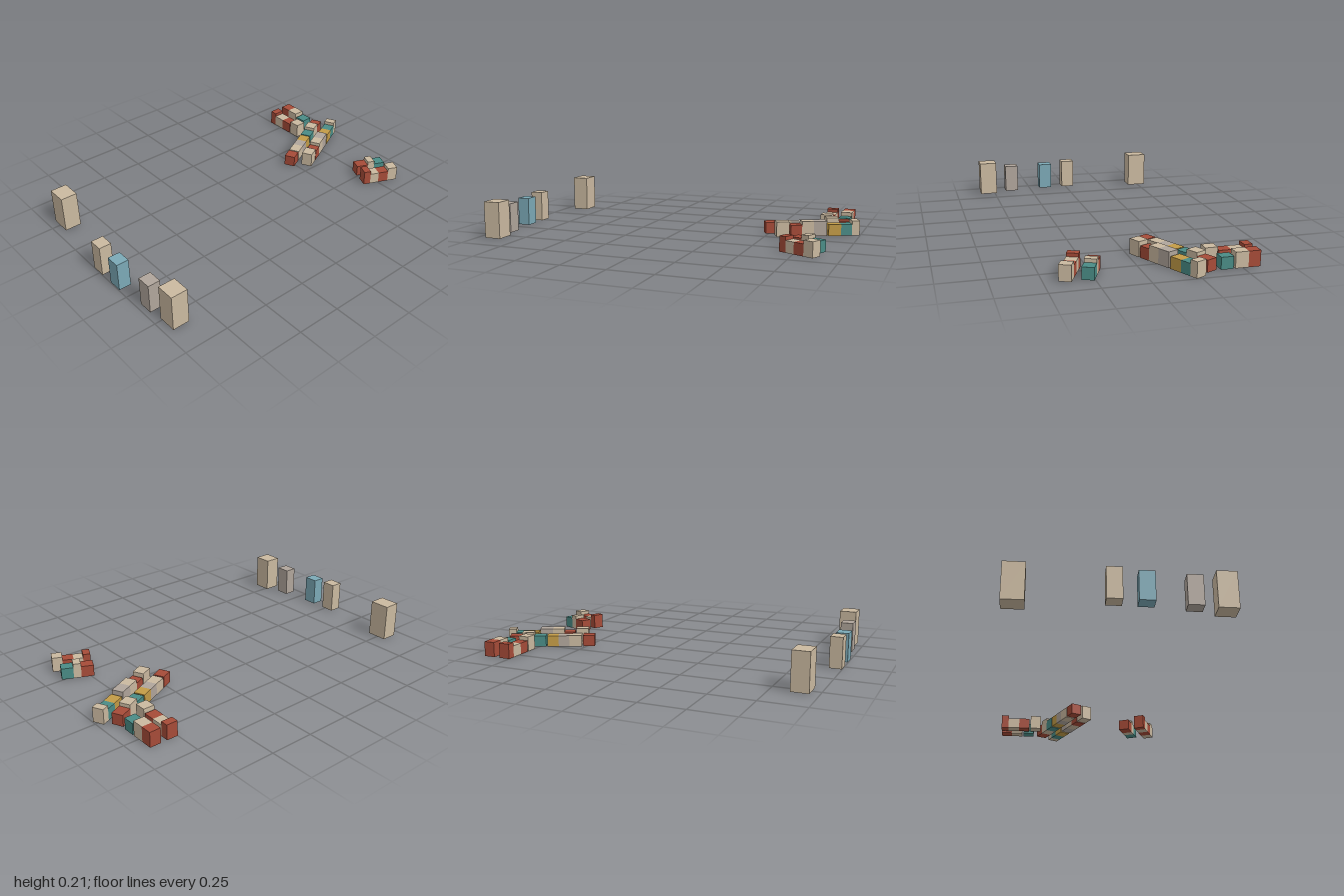
import * as THREE from 'three';

const paint = (name, color) => {
  const m = new THREE.MeshStandardMaterial({ color });
  m.name = name;
  return m;
};

export function createModel() {
  const group = new THREE.Group();
  const beige = paint('beige', 0xcab9a0);
  const red = paint('brickRed', 0xa64b38);
  const teal = paint('teal', 0x4a8c86);
  const gold = paint('ochre', 0xc39b46);
  const grey = paint('warmGrey', 0xb0a59b);
  const blue = paint('skyBlue', 0x7ba9b6);
  const LOW = 0.065, TALL = 0.085, WIDTH = 0.064;

  // A box standing on the ground of its parent
  function addBlock(parent, name, material, w, h, d, x, z) {
    const mesh = new THREE.Mesh(new THREE.BoxGeometry(w, h, d), material);
    mesh.name = name;
    mesh.position.set(x, h / 2, z);
    parent.add(mesh);
  }

  // A row of containers laid end to end from (x, z) along the heading angle
  // each block: [start, end, material, height]
  function addRow(name, x, z, angle, blocks) {
    const row = new THREE.Group();
    row.name = name;
    row.position.set(x, 0, z);
    row.rotation.y = angle;
    blocks.forEach(([a, b, mat, h], i) =>
      addBlock(row, `container${i + 1}`, mat, WIDTH, h, b - a, 0, (a + b) / 2));
    group.add(row);
  }

  // Two straight rows
  addRow('backStraightRow', -0.595, -0.881, Math.PI / 2, [
    [0, 0.065, red, TALL], [0.065, 0.135, beige, TALL], [0.145, 0.212, teal, LOW]]);
  addRow('frontStraightRow', -0.595, -0.781, Math.PI / 2, [
    [0, 0.045, red, TALL], [0.045, 0.115, beige, LOW],
    [0.115, 0.182, red, LOW], [0.19, 0.257, beige, TALL]]);

  // Two long slanted rows
  addRow('innerLongRow', -0.2525, -0.983, 0.45, [
    [0, 0.045, beige, TALL], [0.045, 0.108, teal, LOW], [0.108, 0.18, gold, LOW],
    [0.19, 0.265, grey, TALL], [0.265, 0.333, beige, TALL],
    [0.333, 0.397, red, LOW], [0.405, 0.479, beige, TALL]]);
  addRow('outerLongRow', -0.331, -0.921, 0.448, [
    [0, 0.073, red, LOW], [0.073, 0.143, beige, TALL], [0.143, 0.212, teal, LOW],
    [0.22, 0.286, gold, LOW], [0.286, 0.349, grey, LOW],
    [0.349, 0.423, beige, LOW], [0.431, 0.5, red, LOW]]);

  // Two short slanted rows
  addRow('innerShortRow', 0.286, -0.883, -0.42, [
    [0, 0.066, teal, LOW], [0.066, 0.108, beige, TALL], [0.108, 0.178, red, LOW]]);
  addRow('outerShortRow', 0.397, -0.876, -0.43, [
    [0, 0.058, beige, TALL], [0.058, 0.119, red, LOW],
    [0.119, 0.172, beige, LOW], [0.172, 0.213, red, TALL]]);

  // Upright towers along the front: [material, width, height, depth, x, z]
  [[beige, 0.116, 0.21, 0.095, -0.494, 0.902],
    [beige, 0.08, 0.175, 0.07, -0.015, 0.963],
    [blue, 0.081, 0.162, 0.07, 0.141, 0.961],
    [grey, 0.082, 0.168, 0.07, 0.378, 0.935],
    [beige, 0.105, 0.205, 0.095, 0.539, 0.908]]
    .forEach((t, i) => addBlock(group, `tower${i + 1}`, ...t));

  return group;
}
